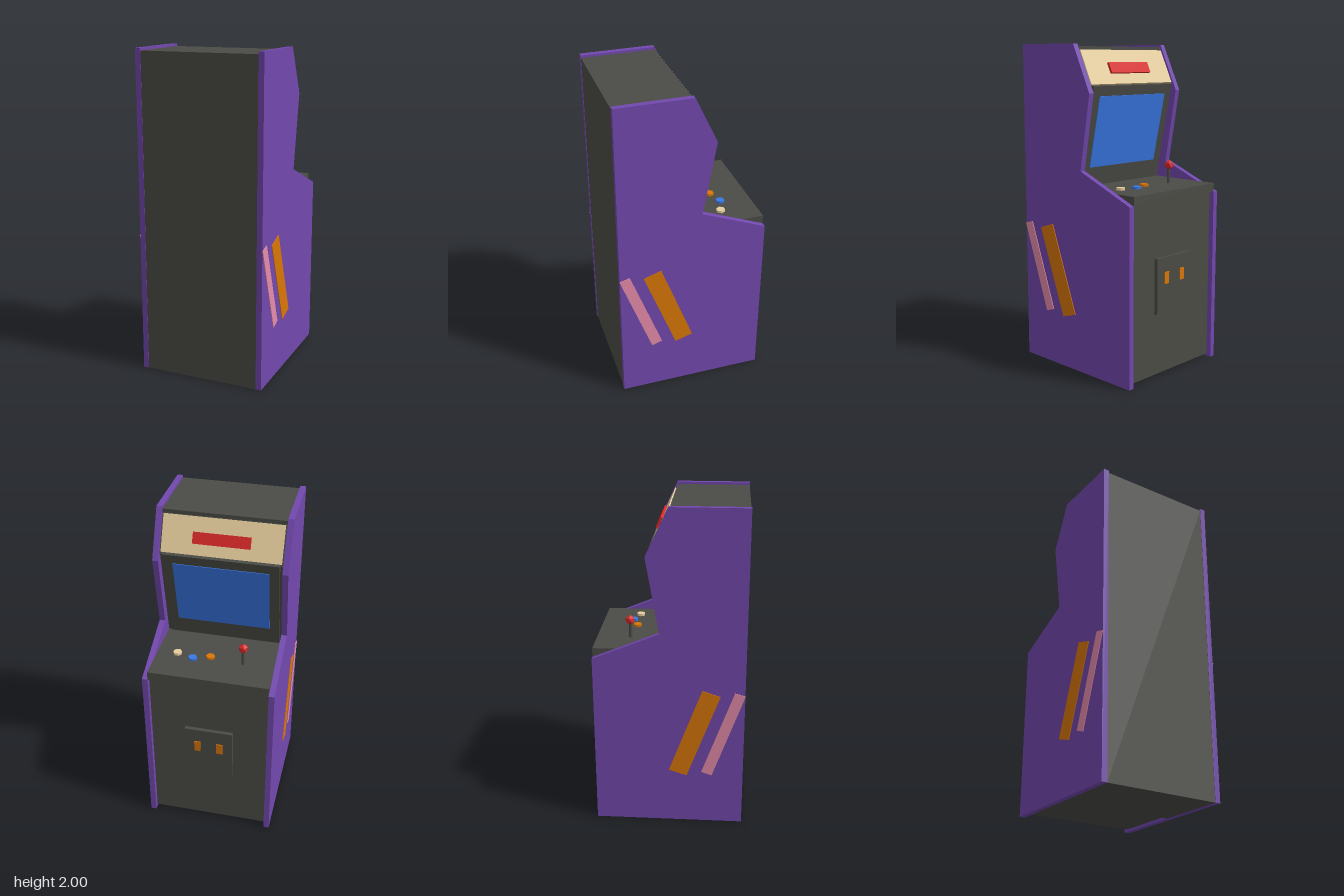
import * as THREE from 'three';

const mat = (name, color) => {
  const m = new THREE.MeshStandardMaterial({ color });
  m.name = name;
  return m;
};

export function createModel() {
  const purple = mat('purple', 0x7248ae);
  const charcoal = mat('charcoal', 0x4b4b46);
  const cream = mat('cream', 0xe6ce9e);
  const red = mat('red', 0xd92828);
  const blue = mat('blue', 0x3a79e6);
  const orange = mat('orange', 0xd97706);
  const pink = mat('pink', 0xe68ca9);

  const model = new THREE.Group();
  model.name = 'arcadeCabinet';

  const add = (name, geometry, material, x = 0, y = 0, z = 0, parent = model) => {
    const mesh = new THREE.Mesh(geometry, material);
    mesh.name = name;
    mesh.position.set(x, y, z);
    parent.add(mesh);
    return mesh;
  };
  const box = (w, h, d) => new THREE.BoxGeometry(w, h, d);

  // Extrudes a [z, y] side profile across x, centred on x = 0
  const slab = (points, width) => {
    const shape = new THREE.Shape(points.map(([z, y]) => new THREE.Vector2(z, y)));
    const g = new THREE.ExtrudeGeometry(shape, { depth: width, bevelEnabled: false });
    return g.translate(0, 0, -width / 2).rotateY(-Math.PI / 2);
  };

  // Side panels with slanted stripes
  const sideProfile = [[0.457, 0], [0.457, 2], [0, 2], [-0.135, 1.715],
    [-0.055, 1.255], [-0.457, 1.09], [-0.457, 0]];
  const wideStripe = [[0.31, 0.866], [0.2, 0.903], [0, 0.36], [0.11, 0.325]];
  const narrowStripe = [[0.459, 0.875], [0.395, 0.893], [0.2, 0.352], [0.265, 0.33]];
  for (const [side, s] of [['left', 1], ['right', -1]]) {
    add(side + 'SidePanel', slab(sideProfile, 0.035), purple, s * 0.3825);
    add(side + 'WideStripe', slab(wideStripe, 0.008), orange, s * 0.4);
    add(side + 'NarrowStripe', slab(narrowStripe, 0.008), pink, s * 0.4);
  }

  // Cabinet body, front base and control deck
  add('cabinetBody', slab([[0.455, 0], [0.455, 1.985], [0.002, 1.985], [0.002, 1.963],
    [-0.098, 1.745], [-0.088, 1.74], [0.03, 1.1], [0, 1.09], [0, 0]], 0.73), charcoal);
  add('frontBase', box(0.73, 1.08, 0.425), charcoal, 0, 0.555, -0.2125);
  add('controlDeck', box(0.73, 0.055, 0.48), charcoal, 0, 1.1175, -0.217);

  // Marquee board, tilted back, with a raised bar
  const marquee = new THREE.Group();
  marquee.name = 'marquee';
  marquee.position.set(0, 1.865, -0.06);
  marquee.rotation.x = Math.atan2(0.135, 0.285);
  model.add(marquee);
  add('marqueeBoard', box(0.71, 0.222, 0.024), cream, 0, 0, 0.012, marquee);
  add('marqueeBar', box(0.34, 0.068, 0.015), red, 0, -0.011, -0.0065, marquee);

  // Screen in its bezel, leaning forward at the top
  const display = new THREE.Group();
  display.name = 'display';
  display.position.set(0, 1.45, -0.053);
  display.rotation.x = -Math.atan2(0.13, 0.61);
  model.add(display);
  add('bezel', box(0.69, 0.62, 0.04), charcoal, 0, 0, 0.02, display);
  add('screen', box(0.574, 0.44, 0.006), blue, 0, 0.03, -0.001, display);

  // Joystick
  add('joystickShaft', new THREE.CylinderGeometry(0.01, 0.01, 0.11, 6), charcoal, -0.17, 1.195, -0.25);
  const ball = new THREE.IcosahedronGeometry(0.031, 0)
    .rotateZ(Math.atan(2 / (1 + Math.sqrt(5))));
  add('joystickBall', ball, red, -0.172, 1.259, -0.252);

  // Buttons
  const buttons = [[0.034, -0.23, orange], [0.136, -0.264, blue], [0.239, -0.23, cream]];
  for (const [x, z, material] of buttons) {
    const g = new THREE.CylinderGeometry(0.028, 0.028, 0.018, 6).rotateY(Math.PI / 6);
    add(material.name + 'Button', g, material, x, 1.151, z);
  }

  // Coin door with two slots
  add('coinDoor', box(0.3, 0.345, 0.025), charcoal, 0, 0.572, -0.4365);
  for (const s of [-1, 1]) {
    add(s > 0 ? 'leftCoinSlot' : 'rightCoinSlot', box(0.038, 0.073, 0.01), orange, s * 0.07, 0.618, -0.45);
  }

  return model;
}
